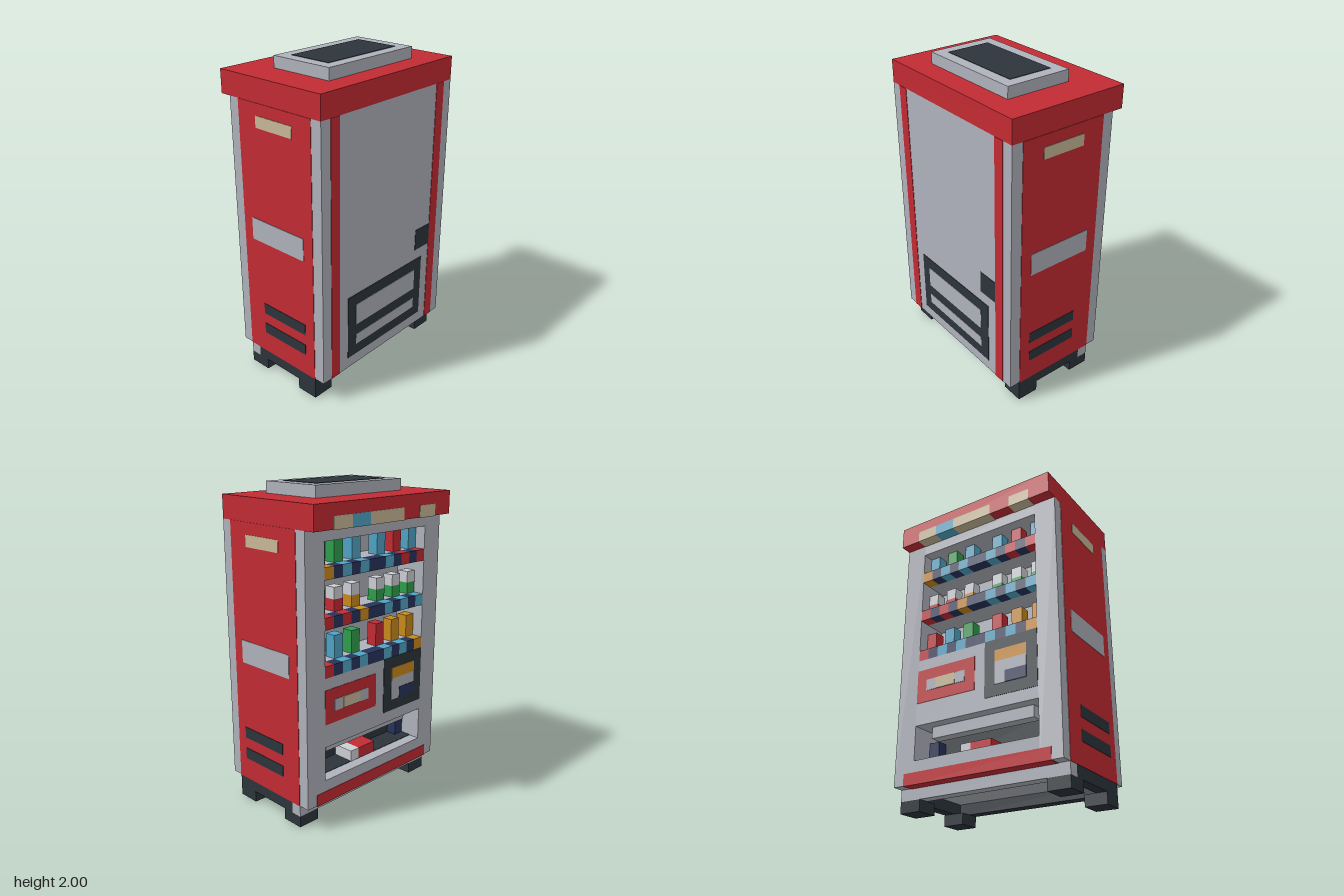
import * as THREE from 'three';

const mat = (name, color) => new THREE.MeshStandardMaterial({ name, color });

export function createModel() {
  const M = {
    red: mat('red', 0xc22b33), grey: mat('grey', 0xafb2bb), dark: mat('charcoal', 0x2c343b),
    beige: mat('beige', 0xc8b898), cyan: mat('sky blue', 0x4fa3c4), navy: mat('navy', 0x27335a),
    green: mat('green', 0x2f9e4c), orange: mat('orange', 0xc98a1c), white: mat('white', 0xcdcfd5),
  };
  const model = new THREE.Group();
  model.name = 'vendingMachine';
  const U = 1 / 14; // one block

  // Box between two corners, measured in blocks
  function box(name, color, x0, x1, y0, y1, z0, z1) {
    const g = new THREE.BoxGeometry((x1 - x0) * U, (y1 - y0) * U, (z1 - z0) * U);
    const m = new THREE.Mesh(g, M[color]);
    m.position.set((x0 + x1) / 2 * U, (y0 + y1) / 2 * U, (z0 + z1) / 2 * U);
    m.name = name;
    model.add(m);
  }
  const T = 0.04; // thickness of painted plates
  const plateFront = (n, c, x0, x1, y0, y1, k = 1) => box(n, c, x0, x1, y0, y1, 5.5, 5.5 + T * k);
  const plateBack = (n, c, x0, x1, y0, y1, k = 1) => box(n, c, x0, x1, y0, y1, -4.5 - T * k, -4.5);
  const plateSide = (n, c, z0, z1, y0, y1, k = 1) => {
    box(n, c, 8, 8 + T * k, y0, y1, z0, z1);
    box(n, c, -8 - T * k, -8, y0, y1, z0, z1);
  };

  // Feet and base frame
  for (const x of [-8, 6]) for (const z of [-3.5, 2.5]) box('foot', 'dark', x, x + 2, 0, 1, z, z + 2);
  for (const x of [-8, 7]) box('baseSideBeam', 'dark', x, x + 1, 1, 2, -2.5, 4.5);
  box('baseBeam', 'dark', -7, 7, 1, 2, 3.5, 4.5);
  box('plinth', 'grey', -8, 8, 1, 2, -3.5, -2.5);

  // Cabinet, with the display side open
  box('cabinet', 'grey', -8, 8, 2, 25, -1.5, 5.5);
  for (const x of [-8, 6]) box('displayPillar', 'grey', x, x + 2, 2, 25, -4.5, -1.5);
  for (const [y0, y1] of [[24, 25], [7, 13], [2, 4]]) box('displayBand', 'grey', -6, 6, y0, y1, -4.5, -1.5);

  // Lid with its sign and the roof unit
  box('lid', 'red', -8, 8, 25, 27, -5.5, 5.5);
  for (const [c, x0, x1] of [['beige', 4, 6], ['cyan', 2, 4], ['beige', -2, 2], ['beige', -6, -4]])
    box('lidSign', c, x0, x1, 25 - T, 26, -5.5 - T, -4.5);
  box('roofUnit', 'grey', -5, 5, 27, 28, -2.5, 3.5);
  box('roofPanel', 'dark', -4, 4, 28, 28 + T, -1.5, 2.5);

  // Side panels
  plateSide('sidePanel', 'red', -3.5, 4.5, 2, 25);
  plateSide('sideLabel', 'beige', -1.5, 2.5, 23, 24, 2);
  plateSide('sideBand', 'grey', -2.5, 3.5, 13, 15, 2);
  for (const y of [4, 6]) plateSide('sideVent', 'dark', -1.5, 3.5, y, y + 1, 2);

  // Service face
  for (const x of [-7, 6]) plateFront('serviceStripe', 'red', x, x + 1, 2, 25);
  plateFront('serviceGrille', 'dark', -5, 5, 3, 9);
  plateFront('grilleSlot', 'grey', -4, 4, 4, 5, 2);
  plateFront('grilleSlot', 'grey', -4, 4, 6, 8, 2);
  plateFront('serviceLock', 'dark', 4, 6, 10, 12);

  // Shelves: price tags sit below the products, with navy blocks between
  const columns = [5, 3, 1, -2, -4, -6];
  const shelves = [
    { y: 21, tags: ['orange', 'cyan', 'cyan', 'cyan', 'red', 'red'],
      goods: ['cyan', 'green', 'cyan', 'cyan', 'red', 'cyan'] },
    { y: 17, tags: ['red', 'red', 'orange', 'cyan', 'cyan', 'cyan'],
      goods: ['red', 'red', 'orange', 'green', 'green', 'green'], caps: true },
    { y: 13, tags: ['red', 'cyan', 'cyan', 'cyan', 'cyan', 'orange'],
      goods: ['red', 'cyan', 'green', 'red', 'orange', 'orange'] },
  ];
  for (const { y, tags, goods, caps } of shelves) {
    box('shelf', 'grey', -6, 6, y, y + 1, -3.5, -1.5);
    for (let x = -6; x < 6; x++) {
      const i = columns.indexOf(x);
      box('priceTag', i < 0 ? 'navy' : tags[i], x, x + 1, y, y + 1, -4.5, -3.5);
    }
    columns.forEach((x, i) => {
      box('product', goods[i], x, x + 1, y + 1, y + (caps ? 2 : 3), -3.5, -2.5);
      if (caps) box('productCap', 'white', x, x + 1, y + 2, y + 3, -3.5, -2.5);
    });
  }

  // Notice and payment panel
  plateBack('notice', 'red', 0, 6, 9, 12);
  plateBack('noticeFrame', 'grey', 1, 5, 10, 11, 2);
  plateBack('noticeLabel', 'beige', 2, 4, 10, 11, 3);
  plateBack('paymentPanel', 'dark', -6, -1, 8, 13);
  plateBack('paymentPlate', 'grey', -5, -2, 9, 11, 2);
  plateBack('paymentDisplay', 'orange', -5, -2, 11, 12, 2);
  plateBack('coinReturn', 'navy', -5, -3, 9, 10, 3);

  // Pickup tray with a dispensed can
  box('trayFloor', 'dark', -6, 6, 4, 4 + T, -3.5, -1.5);
  box('trayBack', 'dark', -6, 6, 4, 7, -1.5 - T, -1.5);
  for (const x of [-6, 5]) box('trayEnd', 'navy', x, x + 1, 4, 6, -2.5, -1.5);
  box('trayFlap', 'grey', -5, 5, 6, 7, -3.5, -2.5);
  box('canEnd', 'white', 1, 2, 4, 5, -3.5, -1.6);
  box('can', 'red', -1, 1, 4, 5, -3.5, -1.6);

  // Kick strip
  box('kickStrip', 'red', -7, 7, 2 - T, 3, -4.5 - T, -3.5);

  return model;
}
